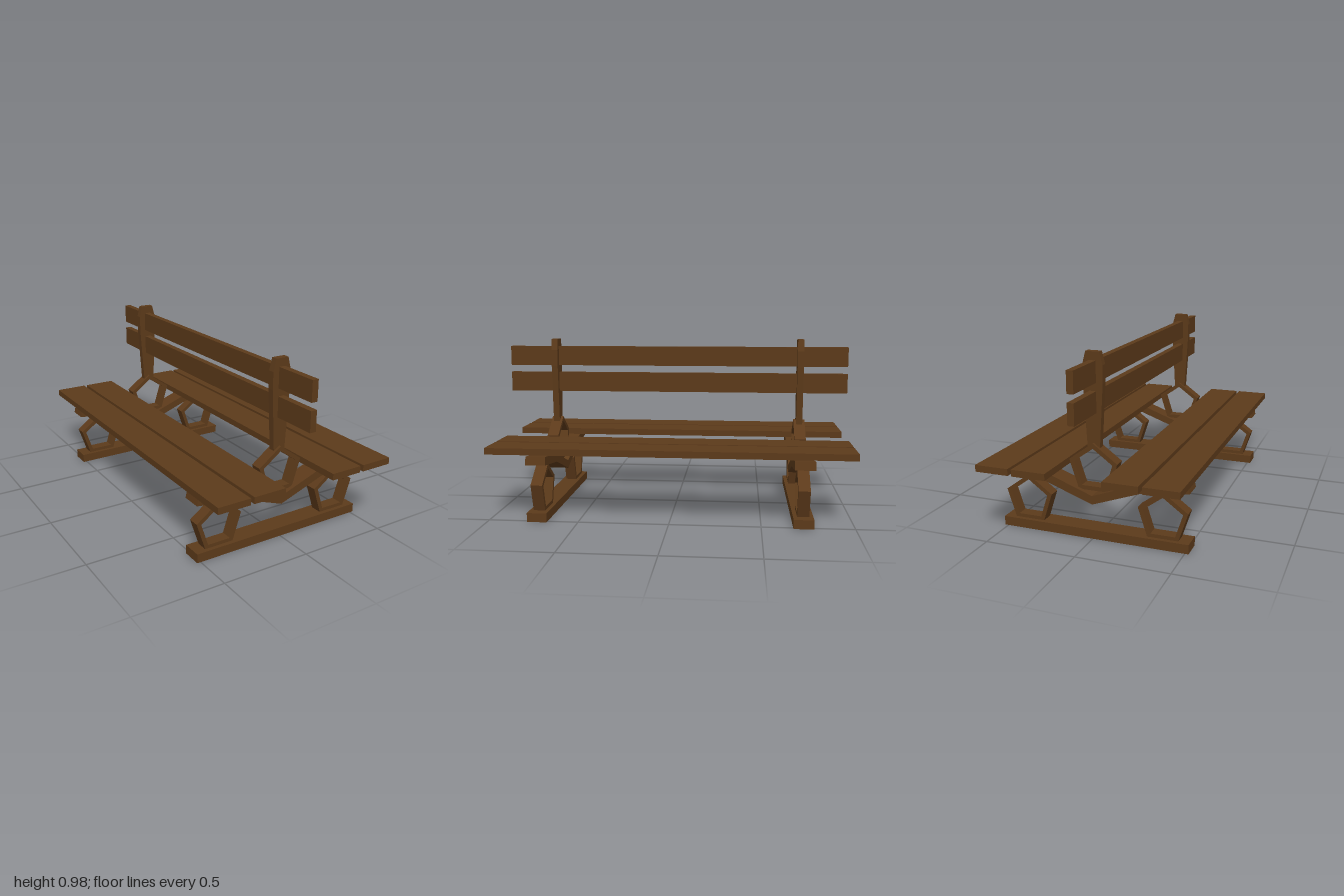
import * as THREE from 'three';

const wood = new THREE.MeshStandardMaterial({ color: 0x5c3a1a, flatShading: true });
const FRAME_Z = 0.726;

function add(parent, name, geometry, x = 0, y = 0, z = 0) {
  const mesh = new THREE.Mesh(geometry, wood);
  mesh.name = name;
  mesh.position.set(x, y, z);
  parent.add(mesh);
}

// Extrudes a front-facing outline, centred on z = 0
function slab(shape, depth) {
  return new THREE.ExtrudeGeometry(shape, { depth, bevelEnabled: false }).translate(0, 0, -depth / 2);
}

// Outline from its right half, mirrored across x = 0
function mirrored(half) {
  const left = half.filter(([x]) => x > 0).map(([x, y]) => [-x, y]).reverse();
  return new THREE.Shape([...half, ...left].map(([x, y]) => new THREE.Vector2(x, y)));
}

function pentagon(radius) {
  return Array.from({ length: 5 }, (_, i) => {
    const a = Math.PI / 2 + (i * 2 * Math.PI) / 5;
    return new THREE.Vector2(radius * Math.cos(a), radius * Math.sin(a));
  });
}

function pentagonRing() {
  const shape = new THREE.Shape(pentagon(0.14));
  shape.holes.push(new THREE.Path(pentagon(0.112).reverse()));
  return slab(shape, 0.065);
}

function createFrame() {
  const frame = new THREE.Group();
  add(frame, 'footBeam', new THREE.BoxGeometry(1.04, 0.05, 0.11), 0, 0.025);
  for (const side of [-1, 1]) add(frame, 'legRing', pentagonRing(), side * 0.376, 0.16);

  // Bent beam under the seats: bottom edge outward, top edge back
  const beam = mirrored([[0, 0.191], [0.267, 0.287], [0.521, 0.319], [0.51, 0.365], [0.255, 0.331], [0, 0.238]]);
  // The top centre point must close the outline between both halves
  const pts = beam.getPoints().filter((p, i, all) => i === 0 || !p.equals(all[0]));
  add(frame, 'seatBeam', slab(new THREE.Shape(pts), 0.11));

  add(frame, 'backRing', pentagonRing(), 0, 0.373);
  const post = mirrored([[0.034, 0.487], [0.054, 0.822], [0.054, 0.917], [0.037, 0.983]]);
  add(frame, 'backPost', slab(post, 0.036));
  return frame;
}

export function createModel() {
  const bench = new THREE.Group();
  bench.name = 'doubleSidedBench';

  // Two end frames
  for (const side of [-1, 1]) {
    const frame = createFrame();
    frame.name = side > 0 ? 'frontFrame' : 'backFrame';
    frame.position.z = side * FRAME_Z;
    bench.add(frame);
  }

  // Seat planks on both sides
  for (const side of [-1, 1])
    for (const x of [0.243, 0.448])
      add(bench, 'seatPlank', new THREE.BoxGeometry(0.185, 0.036, 2), side * x, 0.396);

  // Shared backrest slats
  for (const y of [0.727, 0.882])
    add(bench, 'backSlat', new THREE.BoxGeometry(0.036, 0.113, 2), 0, y);

  return bench;
}
